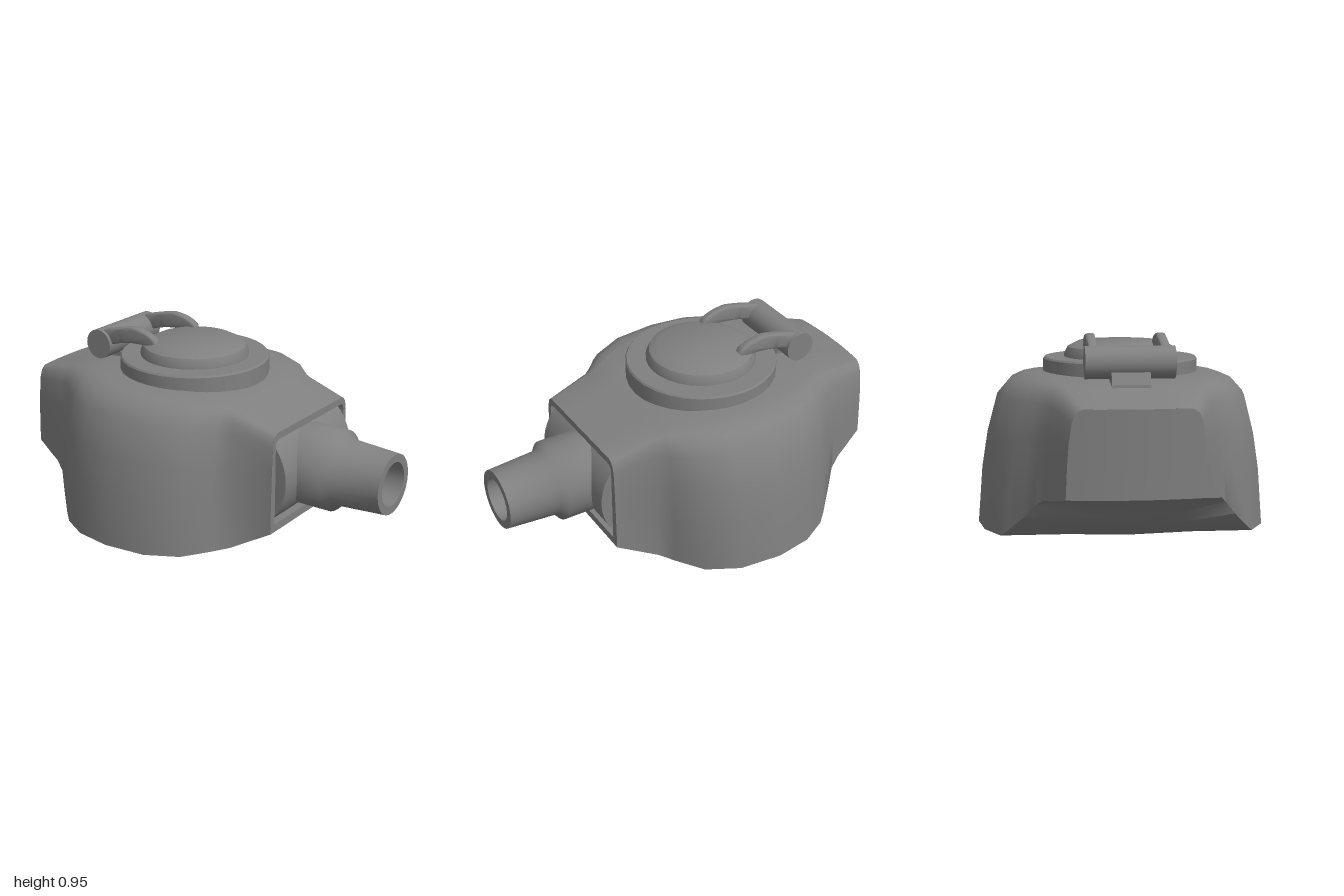
import * as THREE from 'three';
import { toCreasedNormals } from 'three/addons/utils/BufferGeometryUtils.js';

const material = new THREE.MeshStandardMaterial({ color: 0x808080, side: THREE.DoubleSide });

// Width factor against height: [height, domed section, boxy section]
const PROFILE = [[0, 1, 1], [0.37, 0.97, 0.99], [0.61, 0.93, 0.98], [0.86, 0.86, 0.965],
  [0.95, 0.775, 0.94], [0.985, 0.69, 0.9], [1, 0.6, 0.83]];

// Body stations: z, underside, underside lift at the edges, top, half width, boxiness
const STATIONS = [
  [-0.97, 0.255, 0, 0.66, 0.325, 0.6], [-0.84, 0.225, 0, 0.695, 0.385, 0.5],
  [-0.77, 0.205, 0.01, 0.712, 0.42, 0.4], [-0.71, 0.11, 0.07, 0.725, 0.45, 0.3],
  [-0.65, 0.06, 0.05, 0.735, 0.505, 0.15], [-0.57, 0, 0.03, 0.742, 0.575, 0],
  [-0.53, 0, 0, 0.745, 0.605, 0], [-0.39, 0, 0, 0.748, 0.68, 0],
  [-0.2, 0, 0, 0.748, 0.71, 0], [0.02, 0, 0, 0.743, 0.687, 0],
  [0.18, 0, 0, 0.728, 0.602, 0], [0.27, 0, 0, 0.708, 0.47, 0.35],
  [0.32, 0, 0, 0.693, 0.387, 0.9], [0.535, 0.12, 0, 0.63, 0.355, 1]];

function widthFactor(h, k) {
  let i = 1;
  while (i < PROFILE.length - 1 && PROFILE[i][0] < h) i++;
  const a = PROFILE[i - 1], b = PROFILE[i];
  const t = Math.min(1, Math.max(0, (h - a[0]) / (b[0] - a[0])));
  return THREE.MathUtils.lerp(
    THREE.MathUtils.lerp(a[1], a[2], k), THREE.MathUtils.lerp(b[1], b[2], k), t);
}

// Side edge of a section, from the lower corner to the flat of the top
function sideEdge([, yb, lift, yt, w, k]) {
  const y0 = yb + lift;
  return PROFILE.map(([s]) => {
    const y = y0 + (yt - y0) * s;
    return [w * widthFactor(y / yt, k), y];
  });
}

function sectionRing(station) {
  const side = sideEdge(station);
  const [, yb, lift, yt] = station;
  const x0 = side[0][0], x1 = side[side.length - 1][0];
  const half = [[0, yb], [x0 / 2, yb + lift * 0.3], ...side, [x1 / 2, yt], [0, yt]];
  return [...half, ...half.slice(1, -1).reverse().map(([x, y]) => [-x, y])];
}

const rearZ = (x) => -0.97 - 0.03 * (1 - (x / 0.325) ** 2);

// Skin over rows of points with equal counts
function skin(rows, closed) {
  const n = rows[0].length, index = [];
  for (let j = 0; j < rows.length - 1; j++) {
    for (let i = 0; i < (closed ? n : n - 1); i++) {
      const a = j * n + i, b = j * n + (i + 1) % n;
      index.push(a, b, b + n, a, b + n, a + n);
    }
  }
  const g = new THREE.BufferGeometry();
  g.setAttribute('position', new THREE.Float32BufferAttribute(rows.flat(2), 3));
  g.setIndex(index);
  return toCreasedNormals(g, 1);
}

function lathe(points, crease) {
  const profile = points.map(([r, y]) => new THREE.Vector2(r, y));
  return toCreasedNormals(new THREE.LatheGeometry(profile, 32), crease);
}

export function createModel() {
  const model = new THREE.Group();
  const add = (name, geometry, x = 0, y = 0, z = 0) => {
    const mesh = new THREE.Mesh(geometry, material);
    mesh.name = name;
    mesh.position.set(x, y, z);
    model.add(mesh);
    return mesh;
  };

  // Domed body lofted from back to front, with a slightly bowed rear wall
  const rows = STATIONS.map((s, j) =>
    sectionRing(s).map(([x, y]) => [x, y, j === 0 ? rearZ(x) : s[0]]));
  add('body', skin(rows, true));
  const rearRows = sideEdge(STATIONS[0]).map(([w, y]) =>
    Array.from({ length: 9 }, (_, u) => {
      const x = w * (1 - u / 4);
      return [x, y, rearZ(x)];
    }));
  add('rearWall', skin(rearRows, false));

  // Front frame around a shallow recess
  const ring = sectionRing(STATIONS[STATIONS.length - 1]);
  const frame = new THREE.Shape(ring.map(([x, y]) => new THREE.Vector2(x, y)));
  const hole = new THREE.Path();
  hole.moveTo(-0.315, 0.16);
  hole.lineTo(-0.315, 0.56);
  hole.quadraticCurveTo(-0.315, 0.595, -0.28, 0.595);
  hole.lineTo(0.28, 0.595);
  hole.quadraticCurveTo(0.315, 0.595, 0.315, 0.56);
  hole.lineTo(0.315, 0.16);
  hole.closePath();
  frame.holes.push(hole);
  add('frontFrame', new THREE.ExtrudeGeometry(frame,
    { depth: 0.08, bevelEnabled: false, curveSegments: 5 }), 0, 0, 0.457);
  add('recessBack', new THREE.BoxGeometry(0.66, 0.45, 0.02), 0, 0.38, 0.45);

  // Horizontal swivel drum and hollow nozzle
  add('swivelDrum', new THREE.CylinderGeometry(0.29, 0.29, 0.61, 48), 0, 0.375, 0.3)
    .rotation.z = Math.PI / 2;
  add('nozzle', lathe([[0.205, 0.45], [0.205, 0.708], [0.168, 0.738], [0.151, 1],
    [0.11, 1], [0.105, 0.72], [0, 0.72]], 1), 0, 0.375, 0)
    .rotation.x = Math.PI / 2;

  // Round collar and cap on top
  add('collar', lathe([[0.382, 0.7], [0.382, 0.808], [0.375, 0.817], [0.26, 0.817]], 0.5),
    0, 0, -0.165);
  add('cap', lathe([[0.278, 0.8], [0.278, 0.832], [0.262, 0.866], [0.21, 0.892],
    [0, 0.892]], 0.6), 0, 0, -0.165);

  // Hinge barrel with its foot
  add('hingeBarrel', new THREE.CylinderGeometry(0.077, 0.077, 0.42, 24), 0, 0.83, -0.63)
    .rotation.z = Math.PI / 2;
  const foot = new THREE.Shape([[0.55, 0.7], [0.73, 0.7], [0.725, 0.735], [0.69, 0.8],
    [0.6, 0.8]].map(([z, y]) => new THREE.Vector2(z, y)));
  add('hingeFoot', new THREE.ExtrudeGeometry(foot, { depth: 0.18, bevelEnabled: false }),
    -0.09).rotation.y = Math.PI / 2;

  // Pair of curved, rounded hinge arms resting on the cap
  const arm = new THREE.Shape();
  arm.moveTo(0.282, 0.882);
  arm.lineTo(0.288, 0.898);
  arm.quadraticCurveTo(0.33, 0.932, 0.42, 0.938);
  arm.quadraticCurveTo(0.5, 0.928, 0.62, 0.891);
  arm.lineTo(0.6, 0.838);
  arm.lineTo(0.55, 0.85);
  arm.quadraticCurveTo(0.49, 0.87, 0.42, 0.877);
  arm.closePath();
  const armGeometry = toCreasedNormals(new THREE.ExtrudeGeometry(arm, { depth: 0.02,
    bevelSize: 0.012, bevelThickness: 0.014, bevelSegments: 3, curveSegments: 6 }), 1);
  for (const side of [-1, 1]) {
    add(side > 0 ? 'leftHingeArm' : 'rightHingeArm', armGeometry, side * 0.169 - 0.01)
      .rotation.y = Math.PI / 2;
  }
  return model;
}
